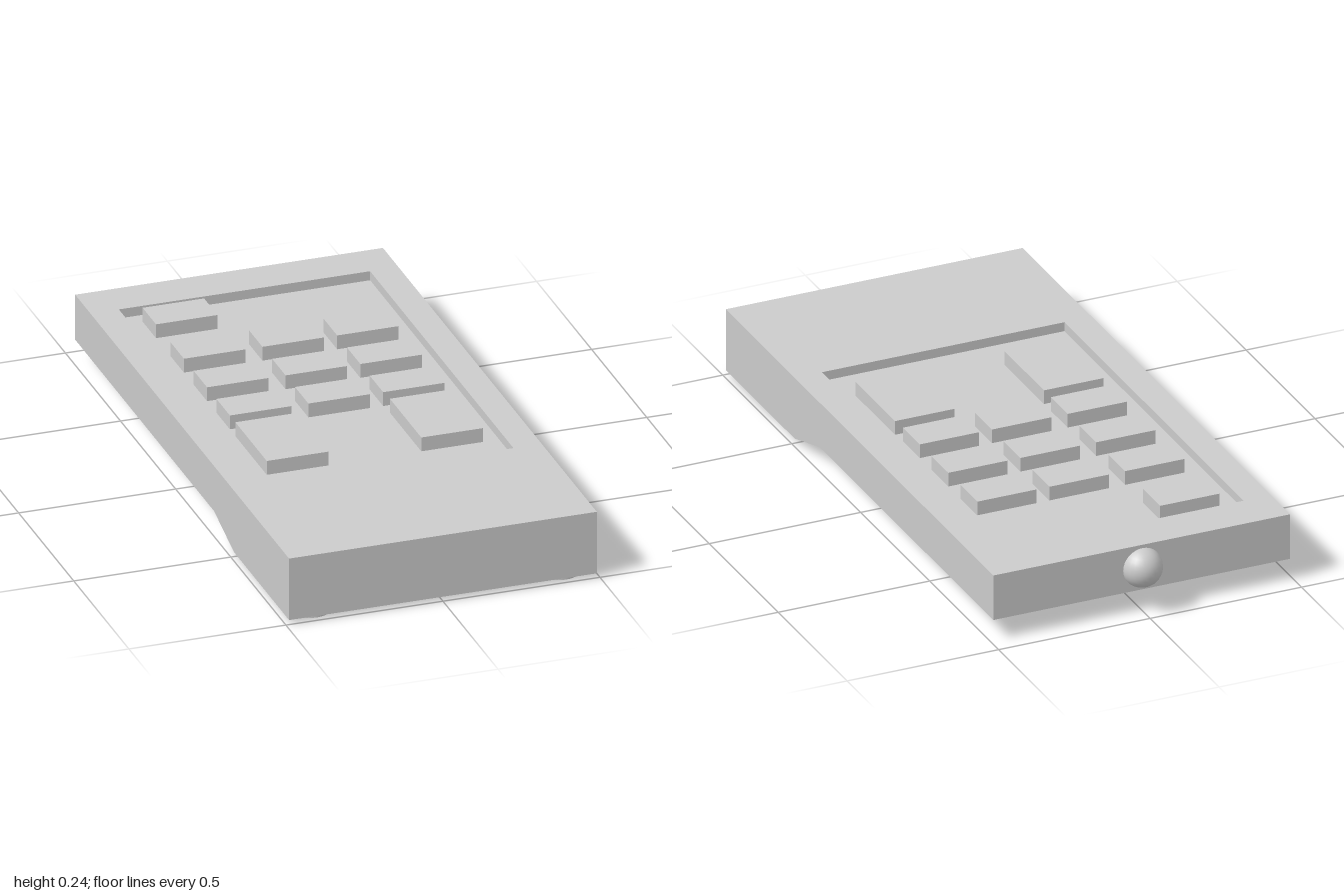
import * as THREE from 'three';
import { mergeGeometries } from 'three/addons/utils/BufferGeometryUtils.js';

const W = 0.49, TOP = 0.22, FLOOR = 0.19, BACK = -0.94, FRONT = 1;
const POCKET = { x: 0.4, z0: -0.8, z1: 0.5 };

const material = new THREE.MeshStandardMaterial({ color: 0xcccccc });

// Flat four-sided face, corners anticlockwise from outside
function quad(a, b, c, d) {
  const g = new THREE.BufferGeometry();
  g.setAttribute('position', new THREE.Float32BufferAttribute([a, b, c, a, c, d].flat(), 3));
  g.computeVertexNormals();
  return g;
}

function flat(shape) {
  const g = new THREE.ShapeGeometry(shape).toNonIndexed();
  g.deleteAttribute('uv');
  return g;
}

function points(list) {
  return list.map(([x, y]) => new THREE.Vector2(x, y));
}

// Casing: stepped side profile with a shallow keypad pocket in the top
function casingGeometry() {
  const profile = [[FRONT, TOP], [FRONT, 0.015], [0.5, 0.015], [0.32, 0.07], [BACK, 0.07], [BACK, TOP]];
  const parts = [];

  // Front, underside and back
  for (let i = 0; i < profile.length - 1; i++) {
    const [pz, py] = profile[i], [qz, qy] = profile[i + 1];
    parts.push(quad([-W, qy, qz], [W, qy, qz], [W, py, pz], [-W, py, pz]));
  }

  // Left and right walls
  for (const s of [1, -1]) {
    const wall = new THREE.Shape(points(profile.map(([z, y]) => [-s * z, y])));
    parts.push(flat(wall).rotateY(s * Math.PI / 2).translate(s * W, 0, 0));
  }

  // Top with the pocket opening
  const { x, z0, z1 } = POCKET;
  const corners = [[-x, z0], [x, z0], [x, z1], [-x, z1]];
  const top = new THREE.Shape(points([[-W, -FRONT], [W, -FRONT], [W, -BACK], [-W, -BACK]]));
  top.holes.push(new THREE.Path(points(corners.map(([cx, cz]) => [cx, -cz]))));
  parts.push(flat(top).rotateX(-Math.PI / 2).translate(0, TOP, 0));

  // Pocket walls and floor
  corners.forEach(([px, pz], i) => {
    const [qx, qz] = corners[(i + 1) % 4];
    parts.push(quad([px, FLOOR, pz], [qx, FLOOR, qz], [qx, TOP, qz], [px, TOP, pz]));
  });
  parts.push(quad([-x, FLOOR, z1], [x, FLOOR, z1], [x, FLOOR, z0], [-x, FLOOR, z0]));
  return mergeGeometries(parts);
}

export function createModel() {
  const model = new THREE.Group();
  model.name = 'remoteControl';

  function add(name, geometry, x, y, z, parent = model) {
    const mesh = new THREE.Mesh(geometry, material);
    mesh.name = name;
    mesh.position.set(x, y, z);
    parent.add(mesh);
  }

  add('casing', casingGeometry(), 0, 0, 0);

  // Keypad: power button, three rows of three, two tall buttons
  const keypad = new THREE.Group();
  keypad.name = 'keypad';
  model.add(keypad);
  const keyTop = 0.236, keyHeight = keyTop - FLOOR;
  function key(name, x, z, depth) {
    add(name, new THREE.BoxGeometry(0.196, keyHeight, depth), x, FLOOR + keyHeight / 2, z, keypad);
  }
  const columns = [-0.242, 0.008, 0.246];
  key('powerButton', columns[0], -0.695, 0.122);
  for (const z of [-0.442, -0.232, -0.025]) {
    for (const x of columns) key('numberButton', x, z, 0.122);
  }
  key('rightTallButton', columns[0], 0.228, 0.285);
  key('leftTallButton', 0.25, 0.228, 0.285);

  // Round feet, the rear pair under the raised section
  for (const [z, bottom, underside] of [[0.915, 0, 0.015], [-0.795, 0.053, 0.07]]) {
    const height = underside - bottom + 0.005;
    for (const x of [-0.395, 0.398]) {
      add('foot', new THREE.CylinderGeometry(0.066, 0.066, height, 24), x, bottom + height / 2, z);
    }
  }

  // Signal bulb on the back end
  add('signalBulb', new THREE.SphereGeometry(0.064, 24, 16), -0.002, 0.145, -0.936);

  return model;
}
